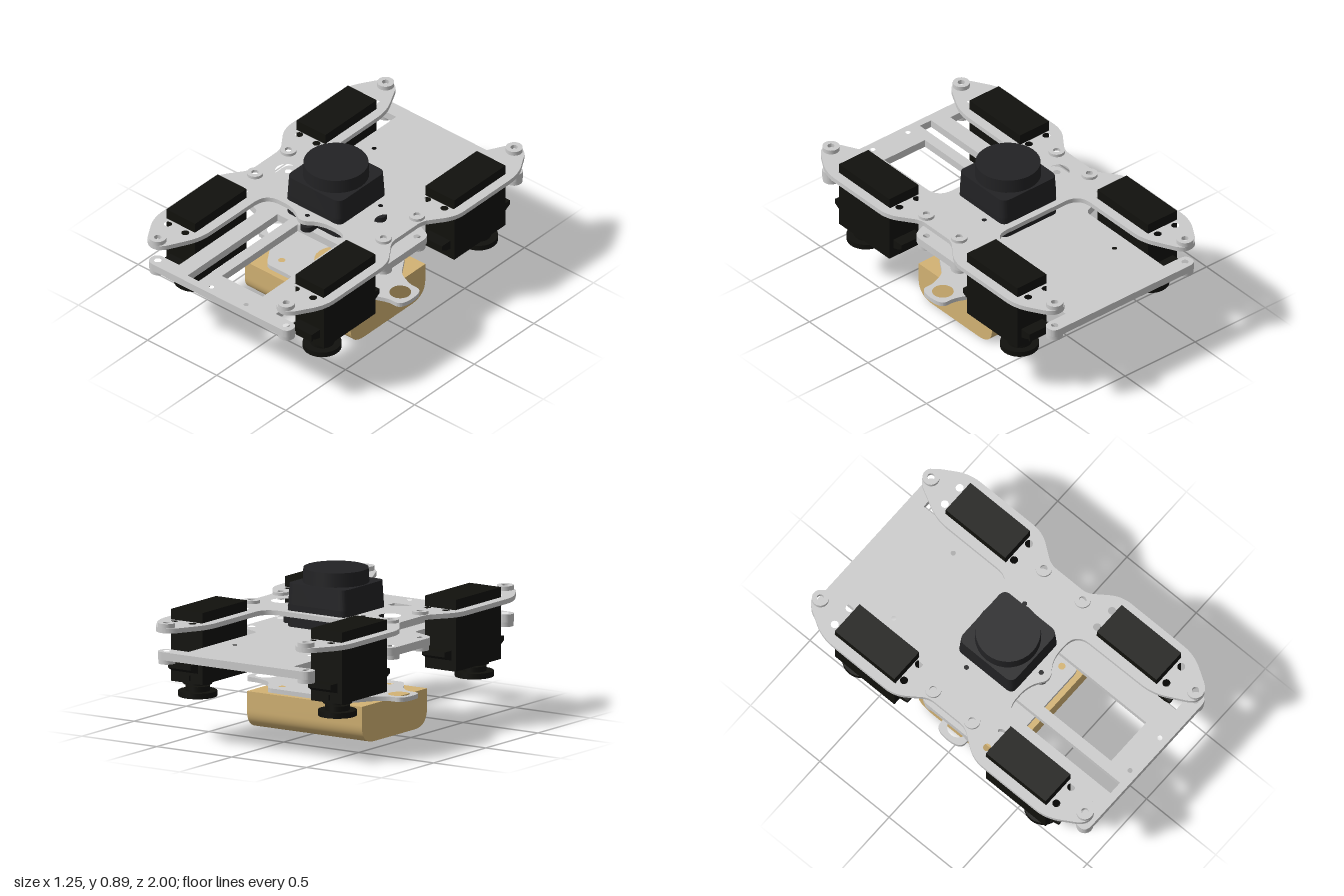
import * as THREE from 'three';
import { toCreasedNormals } from 'three/addons/utils/BufferGeometryUtils.js';

const grey = new THREE.MeshStandardMaterial({ color: 0xcccccc });
const black = new THREE.MeshStandardMaterial({ color: 0x11110d });
const dark = new THREE.MeshStandardMaterial({ color: 0x222224 });
const tan = new THREE.MeshStandardMaterial({ color: 0xd3b374 });
const brass = new THREE.MeshStandardMaterial({ color: 0x8f7a4a });

// closed outline through [x, z, cornerRadius] points
function outline(pts, target = new THREE.Shape()) {
  const n = pts.length;
  const towards = (a, b, r) => {
    const d = Math.hypot(b[0] - a[0], b[1] - a[1]);
    const t = Math.min(r / d, 0.5);
    return [a[0] + (b[0] - a[0]) * t, a[1] + (b[1] - a[1]) * t];
  };
  pts.forEach((p, i) => {
    const r = p[2] || 0;
    const a = towards(p, pts[(i + n - 1) % n], r);
    const b = towards(p, pts[(i + 1) % n], r);
    if (i) target.lineTo(a[0], a[1]); else target.moveTo(a[0], a[1]);
    if (r) target.quadraticCurveTo(p[0], p[1], b[0], b[1]);
  });
  target.closePath();
  return target;
}

const mirrorX = (half) => [
  ...half,
  ...half.filter((p) => p[0] > 0).reverse().map(([x, z, r]) => [-x, z, r]),
];
const rect = (x0, x1, z0, z1, r = 0) => [[x0, z0, r], [x1, z0, r], [x1, z1, r], [x0, z1, r]];
const hole = (x, z, r) => new THREE.Path().absarc(x, z, r, 0, Math.PI * 2, true);
const window_ = (...a) => outline(rect(...a), new THREE.Path());

function mesh(name, geometry, material, x = 0, y = 0, z = 0) {
  const m = new THREE.Mesh(geometry, material);
  m.name = name;
  m.position.set(x, y, z);
  return m;
}

// horizontal slab from an x-z outline, between heights y0 and y1
function slab(name, shape, y0, y1, material) {
  const g = new THREE.ExtrudeGeometry(shape, { depth: y1 - y0, bevelEnabled: false, curveSegments: 12 });
  g.rotateX(Math.PI / 2);
  return mesh(name, toCreasedNormals(g, 0.6), material, 0, y1, 0);
}

function disc(name, r, y0, y1, material, x = 0, z = 0, rTop = r) {
  return mesh(name, new THREE.CylinderGeometry(rTop, r, y1 - y0, 32), material, x, (y0 + y1) / 2, z);
}

function ring(name, r, inner, y0, y1, x, z) {
  const s = new THREE.Shape().absarc(x, z, r, 0, Math.PI * 2, false);
  s.holes.push(hole(x, z, inner));
  return slab(name, s, y0, y1, grey);
}

const corners = (fn) => { for (const sx of [1, -1]) for (const sz of [1, -1]) fn(sx, sz); };

function topPlate() {
  const s = outline(mirrorX([
    [0, 0.31, 0.05], [0.1, 0.235, 0.07], [0.30, 0.235, 0.1],
    [0.305, 0.78, 0.08], [0.42, 1, 0.06], [0.51, 1, 0.06],
    [0.625, 0.81, 0.08], [0.625, 0.285, 0.07], [0.512, 0.13, 0.04],
    [0.512, -0.13, 0.04], [0.625, -0.285, 0.07], [0.625, -0.81, 0.08],
    [0.51, -1, 0.06], [0.42, -1, 0.06], [0.305, -0.78, 0.08],
    [0.305, -0.24, 0.1],
  ]));
  s.holes.push(window_(-0.2, 0.2, -0.2, 0.2, 0.04));
  s.holes.push(hole(0, 0.24, 0.014));
  for (const sx of [1, -1]) s.holes.push(hole(sx * 0.36, 0, 0.062), hole(sx * 0.245, -0.09, 0.014));
  corners((sx, sz) => {
    const xs = [sx * 0.36, sx * 0.57].sort((a, b) => a - b);
    const zs = [sz * 0.325, sz * 0.765].sort((a, b) => a - b);
    s.holes.push(window_(...xs, ...zs));
    for (const x of [0.4, 0.525]) for (const z of [0.3, 0.8]) s.holes.push(hole(sx * x, sz * z, 0.022));
    for (const z of [0.14, 0.955]) s.holes.push(hole(sx * 0.465, sz * z, 0.02));
  });
  return slab('topPlate', s, 0.638, 0.665, grey);
}

function middlePlate() {
  const half = [
    [0.512, 1, 0.05], [0.512, 0.91, 0.05], [0.35, 0.91], [0.35, 0.25, 0.03], [0.512, 0.19, 0.05],
  ];
  const side = [...half, ...half.map(([x, z, r]) => [x, -z, r]).reverse()];
  const s = outline(mirrorX(side));
  s.holes.push(window_(-0.25, -0.17, 0.2, 0.955), window_(-0.105, 0.19, 0.2, 0.835));
  s.holes.push(hole(-0.08, 0.95, 0.014), hole(0.17, 0.95, 0.014));
  s.holes.push(hole(-0.25, -0.61, 0.014), hole(0.25, -0.61, 0.014));
  corners((sx, sz) => {
    for (const z of [0.14, 0.955]) s.holes.push(hole(sx * 0.465, sz * z, 0.02));
  });
  return slab('middlePlate', s, 0.487, 0.532, grey);
}

function batteryPlate() {
  const g = new THREE.Group();
  g.name = 'batteryPlate';
  const s = outline([
    [-0.26, 0.28, 0.03], [0.26, 0.28, 0.03], [0.36, 0.13, 0.04], [0.46, 0.09, 0.03],
    [0.555, 0.09, 0.09], [0.555, -0.09, 0.09], [0.46, -0.09, 0.03], [0.36, -0.13, 0.04],
    [0.26, -0.28, 0.03], [-0.26, -0.28, 0.03], [-0.36, -0.13, 0.04], [-0.42, -0.09, 0.03],
    [-0.51, -0.09, 0.09], [-0.51, 0.09, 0.09], [-0.42, 0.09, 0.03], [-0.36, 0.13, 0.04],
  ]);
  s.holes.push(hole(0.465, 0, 0.06), hole(-0.42, 0, 0.06), hole(0, 0, 0.12));
  for (const x of [-0.22, 0.22]) for (const z of [-0.2, 0.2]) s.holes.push(hole(x, z, 0.02));
  g.add(slab('batteryPlateSheet', s, 0.21, 0.235, grey));
  return g;
}

// servo hanging through the top plate, with shaft and wheel horn below
function servo(sx, sz) {
  const g = new THREE.Group();
  g.name = 'servo';
  g.add(mesh('servoBody', new THREE.BoxGeometry(0.208, 0.402, 0.43), black, 0, 0.521, 0));
  // mounting ears with tapered gussets, drawn in the z-y plane
  const ear = outline([
    [-0.285, 0.435], [0.285, 0.435], [0.285, 0.408], [0.255, 0.39], [0.2, 0.375],
    [-0.2, 0.375], [-0.255, 0.39], [-0.285, 0.408],
  ]);
  const eg = new THREE.ExtrudeGeometry(ear, { depth: 0.15, bevelEnabled: false });
  eg.translate(0, 0, -0.075).rotateY(Math.PI / 2);
  g.add(mesh('servoEars', eg, black));
  const z = sz * 0.11;
  g.add(disc('gearCollar', 0.08, 0.302, 0.322, black, 0, z));
  g.add(disc('shaft', 0.034, 0.26, 0.305, brass, 0, z));
  g.add(disc('hornHub', 0.068, 0.262, 0.292, black, 0, z));
  g.add(disc('hornDisc', 0.107, 0.232, 0.263, black, 0, z));
  g.add(mesh('cableExit', new THREE.BoxGeometry(0.05, 0.03, 0.03), black, 0, 0.35, sz * 0.215));
  g.position.set(sx * 0.466, 0, sz * 0.546);
  return g;
}

function scanner() {
  const g = new THREE.Group();
  g.name = 'scanner';
  g.add(slab('scannerBase', outline(rect(-0.2, 0.2, -0.2, 0.2, 0.05)), 0.575, 0.7, dark));
  // slightly tapered housing
  const body = new THREE.ExtrudeGeometry(outline(rect(-0.2, 0.2, -0.2, 0.2, 0.05)),
    { depth: 0.116, bevelEnabled: false });
  body.rotateX(-Math.PI / 2);
  const p = body.attributes.position;
  for (let i = 0; i < p.count; i++) {
    const k = 1 - 0.25 * p.getY(i);
    p.setX(i, p.getX(i) * k);
    p.setZ(i, p.getZ(i) * k);
  }
  g.add(mesh('scannerHousing', toCreasedNormals(body, 0.6), dark, 0, 0.7, 0));
  g.add(disc('scannerHead', 0.183, 0.81, 0.895, dark, 0, 0, 0.179));
  for (const [x, z] of [[0, 0.24], [0.24, -0.09], [-0.24, -0.09]]) {
    g.add(disc('scannerFoot', 0.038, 0.575, 0.607, dark, x, z));
    g.add(mesh('footBridge', new THREE.BoxGeometry(0.075, 0.032, 0.075), dark, x * 0.84, 0.591, z * 0.84));
  }
  return g;
}

// block with rounded lower long edges
function battery() {
  const s = outline([[-0.313, 0.21], [-0.313, 0, 0.12], [0.313, 0, 0.12], [0.313, 0.21]]);
  const geo = new THREE.ExtrudeGeometry(s, { depth: 0.766, bevelEnabled: false, curveSegments: 16 });
  geo.translate(0, 0, -0.383).rotateY(Math.PI / 2);
  return mesh('battery', toCreasedNormals(geo, 0.6), tan, -0.007, 0, 0);
}

export function createModel() {
  const model = new THREE.Group();
  model.name = 'robotChassis';
  model.add(topPlate(), middlePlate(), batteryPlate(), battery(), scanner());
  corners((sx, sz) => {
    model.add(servo(sx, sz));
    model.add(ring('upperBoss', 0.047, 0.02, 0.665, 0.69, sx * 0.465, sz * 0.955));
    model.add(ring('upperWasher', 0.045, 0.02, 0.665, 0.682, sx * 0.465, sz * 0.14));
    for (const z of [0.14, 0.953]) model.add(ring('lowerBoss', 0.047, 0.02, 0.463, 0.488, sx * 0.465, sz * z));
  });
  // small bosses under the middle plate
  for (const [x, z] of [[-0.26, 0.09], [-0.085, 0.0], [0.165, 0.09], [0.25, -0.01]]) {
    model.add(ring('underBoss', 0.042, 0.018, 0.462, 0.488, x, z));
  }
  return model;
}
